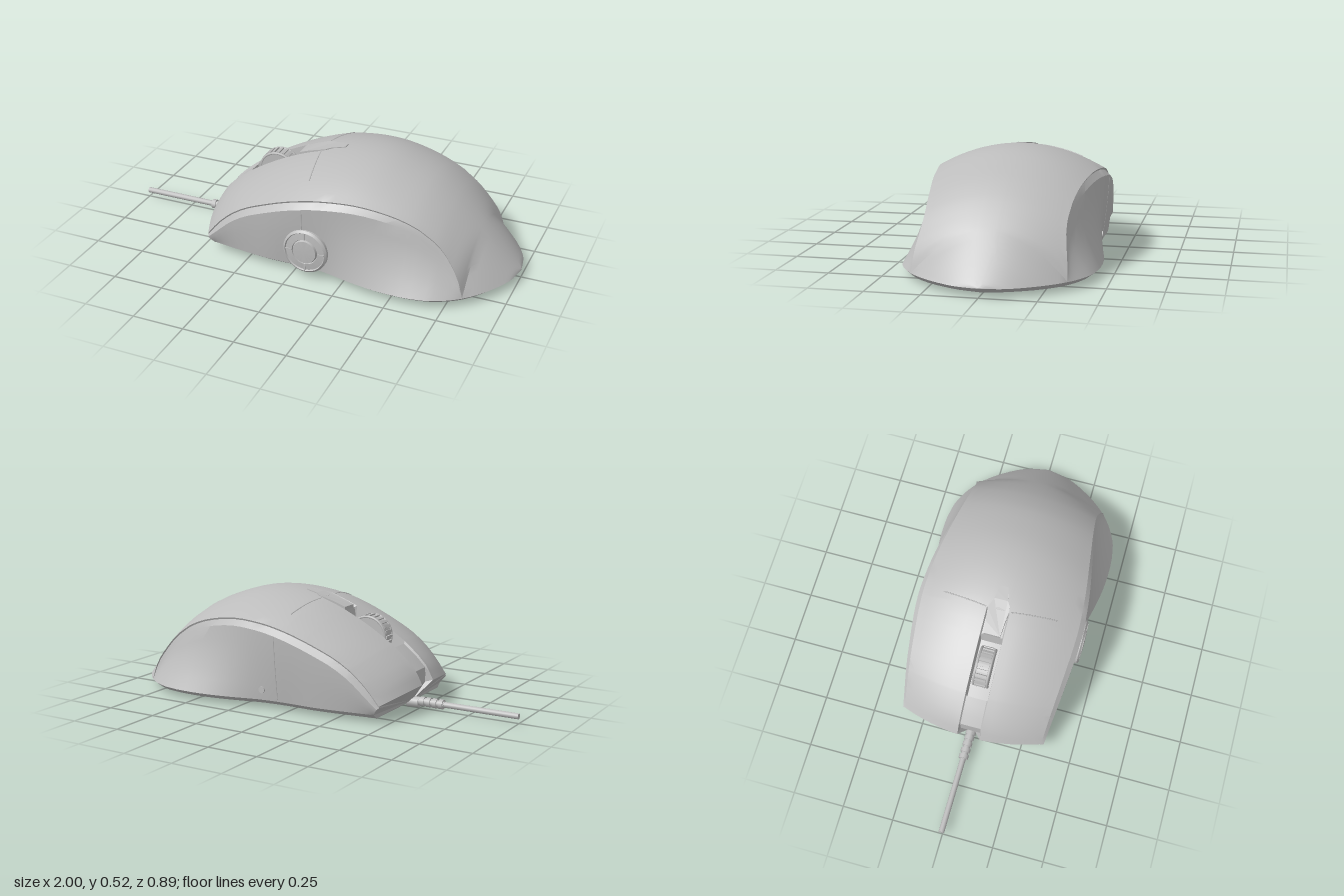
import * as THREE from 'three';
import { toCreasedNormals } from 'three/addons/utils/BufferGeometryUtils.js';

const grey = new THREE.MeshStandardMaterial({ color: 0xbcbcbc });
grey.name = 'mouseGrey';

// Smooth 1D interpolation through flat [x, value, ...] pairs
function rail(t) {
  const n = t.length / 2, X = i => t[2 * i], V = i => t[2 * i + 1];
  const slope = i => {
    const a = Math.max(i - 1, 0), b = Math.min(i + 1, n - 1);
    return (V(b) - V(a)) / (X(b) - X(a));
  };
  return x => {
    let i = 0;
    while (i < n - 2 && x > X(i + 1)) i++;
    const h = X(i + 1) - X(i), s = THREE.MathUtils.clamp((x - X(i)) / h, 0, 1), r = 1 - s;
    return V(i) * (1 + 2 * s) * r * r + slope(i) * h * s * r * r
      + V(i + 1) * s * s * (3 - 2 * s) - slope(i + 1) * h * s * s * r;
  };
}

// Body rails along x: crown height, ridge height, ridge half width, base half width
const crown = rail([-0.54, 0.13, -0.5, 0.2, -0.4, 0.29, -0.3, 0.355, -0.2, 0.41, -0.1, 0.455, 0, 0.49,
  0.1, 0.51, 0.22, 0.52, 0.35, 0.51, 0.5, 0.465, 0.6, 0.42, 0.7, 0.35, 0.8, 0.26, 0.9, 0.155, 1, 0.045]);
const ridgeY = rail([-0.54, 0.085, -0.47, 0.165, -0.37, 0.245, -0.25, 0.305, 0, 0.385, 0.25, 0.415,
  0.45, 0.39, 0.6, 0.335, 0.7, 0.26, 0.77, 0.17, 0.8, 0.11, 0.82, 0.04]);
const ridgeZ = rail([-0.54, 0.345, -0.3, 0.367, 0, 0.385, 0.2, 0.375, 0.4, 0.35, 0.6, 0.325, 0.72, 0.32, 0.82, 0.345]);
const baseZ = rail([-0.54, 0.34, -0.2, 0.375, 0, 0.375, 0.15, 0.385, 0.3, 0.42, 0.45, 0.443, 0.62, 0.44,
  0.72, 0.41, 0.82, 0.345, 0.9, 0.255, 0.96, 0.155, 0.985, 0.09, 1, 0]);
const bevelOut = rail([-0.54, 0.012, -0.3, 0.02, 0, 0.024, 0.3, 0.018, 0.6, 0.006, 0.82, 0]);

function section(x) {
  const tail = x >= 0.82, zb = baseZ(x), zr = tail ? zb : ridgeZ(x);
  const yr = tail ? 0.04 : Math.max(0.04, ridgeY(x)), h = yr - 0.04;
  return { zb, zr, yr, h, zo: zr + (tail ? 0 : bevelOut(x)), yo: yr - Math.min(0.035, 0.3 * h), top: crown(x) };
}
function topY(x, z) {
  const s = section(x);
  return s.top - (s.top - s.yr) * (z / Math.max(s.zr, 1e-4)) ** 2;
}
function sideZ(x, y) {
  const s = section(x), t = (s.yo - y) / (s.yo - 0.04);
  return s.zo + (s.zb - s.zo) * Math.max(t, 0) ** 1.4;
}

// Half section from the crown down to the underside, as [x, y, z]
function halfSection(u) {
  const s = section(u), pts = [], k = Math.min(1, s.zr / 0.3);
  const fade = Math.max(0, (0.1 - u) / 0.64), bow = z => u + 0.08 * fade * (z / 0.36) ** 2;
  const cols = [0, 0.03, 0.05, 0.056].map(z => z * k);
  for (let i = 1; i <= 8; i++) cols.push(0.056 * k + (s.zr - 0.056 * k) * i / 8);
  cols.forEach((z, i) => {
    let y = topY(u, z), x = bow(z);
    if (i < 3 && u < 0) {
      y -= u > -0.38 && u < -0.12 ? 0.07 : 0.012; // wheel slot and centre channel
      x = Math.max(x, -0.5);                      // cable notch
    }
    pts.push([x, y, z]);
  });
  const g = Math.min(1, s.h / 0.05);
  pts.push([bow(s.zr), s.yr - 0.008 * g, s.zr - 0.004 * g]); // seam under the top shell
  for (let i = 0; i <= 5; i++) {
    const y = s.yo + (0.04 - s.yo) * i / 5;
    const z = s.h > 0.001 ? sideZ(u, y) : s.zb;
    pts.push([bow(z) + 0.03 * fade ** 3 * i / 5, y, z]);
  }
  const zc = Math.max(s.zb - 0.03, s.zb * 0.6);
  const xTail = 0.028 * Math.max(0, (u - 0.75) / 0.25) ** 2;
  pts.push([bow(s.zb) + 0.03 * fade ** 3 - xTail, 0.018, zc]);
  return pts;
}

function shellGeometry() {
  const us = [-0.54, -0.52, -0.5, -0.46, -0.42, -0.386, -0.376, -0.33, -0.28, -0.23, -0.18, -0.124, -0.114,
    -0.06, -0.004, 0.004];
  for (let u = 0.05; u < 0.64; u += 0.05) us.push(u);
  us.push(0.67, 0.7, 0.73, 0.76, 0.78, 0.8, 0.81, 0.82, 0.85, 0.88, 0.91, 0.94, 0.96, 0.975, 0.985, 0.994, 1);
  const pos = [], idx = [];
  let n = 0;
  us.forEach(u => {
    const half = halfSection(u);
    const ring = [...half.slice(1).reverse().map(([x, y, z]) => [x, y, -z]), ...half];
    n = ring.length;
    pos.push(...ring.flat());
  });
  for (let i = 0; i < us.length - 1; i++) {
    for (let j = 0; j < n; j++) {
      const a = i * n + j, b = i * n + (j + 1) % n;
      idx.push(a, b, a + n, b, b + n, a + n);
    }
  }
  // Undercut nose
  const c = pos.length / 3;
  pos.push(-0.46, 0.035, 0);
  for (let j = 0; j < n; j++) idx.push(c, (j + 1) % n, j);
  const geo = new THREE.BufferGeometry();
  geo.setAttribute('position', new THREE.Float32BufferAttribute(pos, 3));
  geo.setIndex(idx);
  return toCreasedNormals(geo, 0.38);
}

export function createModel() {
  const model = new THREE.Group();
  model.name = 'computerMouse';
  const add = (name, geo, parent = model, x = 0, y = 0, z = 0) => {
    const m = new THREE.Mesh(geo, grey);
    m.name = name;
    m.position.set(x, y, z);
    parent.add(m);
    return m;
  };
  const tube = (name, pts, r, seg = 16) => add(name, new THREE.TubeGeometry(
    new THREE.CatmullRomCurve3(pts.map(p => new THREE.Vector3(...p))), seg, r, 6));

  add('bodyShell', shellGeometry());

  // Panel seams on the top and sides
  for (const s of [1, -1]) {
    const across = [], down = [];
    for (let i = 0; i <= 6; i++) {
      const z = 0.06 + 0.22 * i / 6, x = 0.005 + 0.035 * (i / 6);
      across.push([x, topY(x, z) - 0.001, s * z]);
      const y = 0.36 - (s > 0 ? 0.11 : 0.31) * i / 6;
      down.push([0.055, y, s * (sideZ(0.05, y) - 0.001)]);
    }
    tube('buttonSeam', across, 0.003);
    tube('sideSeam', down, 0.003);
  }

  // Tapered plate behind the wheel, laid on the crown
  const edge = [[-0.114, 0.04], [-0.06, 0.045], [0, 0.052], [0.025, 0.05], [0.05, 0.033], [0.085, 0.027], [0.115, 0.018]];
  const outline = [...edge, ...edge.map(([x, z]) => [x, -z]).reverse()].map(p => new THREE.Vector2(...p));
  const plate = new THREE.ExtrudeGeometry(new THREE.Shape(outline), { depth: 0.02, bevelEnabled: false });
  plate.rotateX(-Math.PI / 2);
  const pp = plate.attributes.position;
  for (let i = 0; i < pp.count; i++) {
    pp.setY(i, pp.getY(i) - 0.016 + topY(pp.getX(i), pp.getZ(i)));
  }
  plate.computeVertexNormals();
  add('centrePlate', plate);

  // Ribbed scroll wheel
  const wheel = new THREE.Group();
  wheel.name = 'scrollWheel';
  wheel.position.set(-0.235, 0.325, 0);
  model.add(wheel);
  add('wheelCore', toCreasedNormals(new THREE.CylinderGeometry(0.092, 0.092, 0.075, 32).rotateX(Math.PI / 2), 0.6), wheel);
  for (const s of [1, -1]) add('wheelRim', new THREE.TorusGeometry(0.091, 0.007, 6, 32), wheel, 0, 0, s * 0.033);
  for (let i = 0; i < 24; i++) {
    const a = i * Math.PI / 12;
    add('wheelRib', new THREE.BoxGeometry(0.012, 0.01, 0.056), wheel,
      Math.sin(a) * 0.094, Math.cos(a) * 0.094, 0).rotation.z = -a;
  }

  // Round thumb dial with four ticks on the left side
  const dial = new THREE.Group();
  dial.name = 'thumbDial';
  dial.position.set(0.075, 0.145, 0.365);
  model.add(dial);
  const profile = [[0.11, 0], [0.11, 0.044], [0.1, 0.052], [0.096, 0.046], [0.064, 0.05], [0.061, 0.044],
    [0.057, 0.055], [0, 0.057]].map(p => new THREE.Vector2(...p));
  add('dialFace', toCreasedNormals(new THREE.LatheGeometry(profile, 32).rotateX(Math.PI / 2), 0.4), dial);
  for (let i = 0; i < 4; i++) {
    const a = i * Math.PI / 2;
    add('dialTick', new THREE.BoxGeometry(0.034, 0.006, 0.008), dial,
      Math.cos(a) * 0.081, Math.sin(a) * 0.081, 0.048).rotation.z = a;
  }

  // Small push button on the right side
  add('sideButton', new THREE.CylinderGeometry(0.016, 0.016, 0.03, 16).rotateX(Math.PI / 2),
    model, 0.135, 0.09, -sideZ(0.135, 0.09) + 0.008);

  // Cable, ribbed strain relief and the plug that enters the nose
  const rod = (name, r0, r1, x0, x1, y = 0.035) => add(name,
    new THREE.CylinderGeometry(r1, r0, x1 - x0, 12).rotateZ(-Math.PI / 2), model, (x0 + x1) / 2, y, -0.004);
  rod('cable', 0.014, 0.014, -1, -0.6);
  rod('strainRelief', 0.016, 0.02, -0.63, -0.48);
  for (let i = 0; i < 4; i++) rod('reliefRing', 0.023, 0.024, -0.625 + i * 0.032, -0.605 + i * 0.032);
  rod('cablePlug', 0.025, 0.028, -0.5, -0.44, 0.028);
  return model;
}
